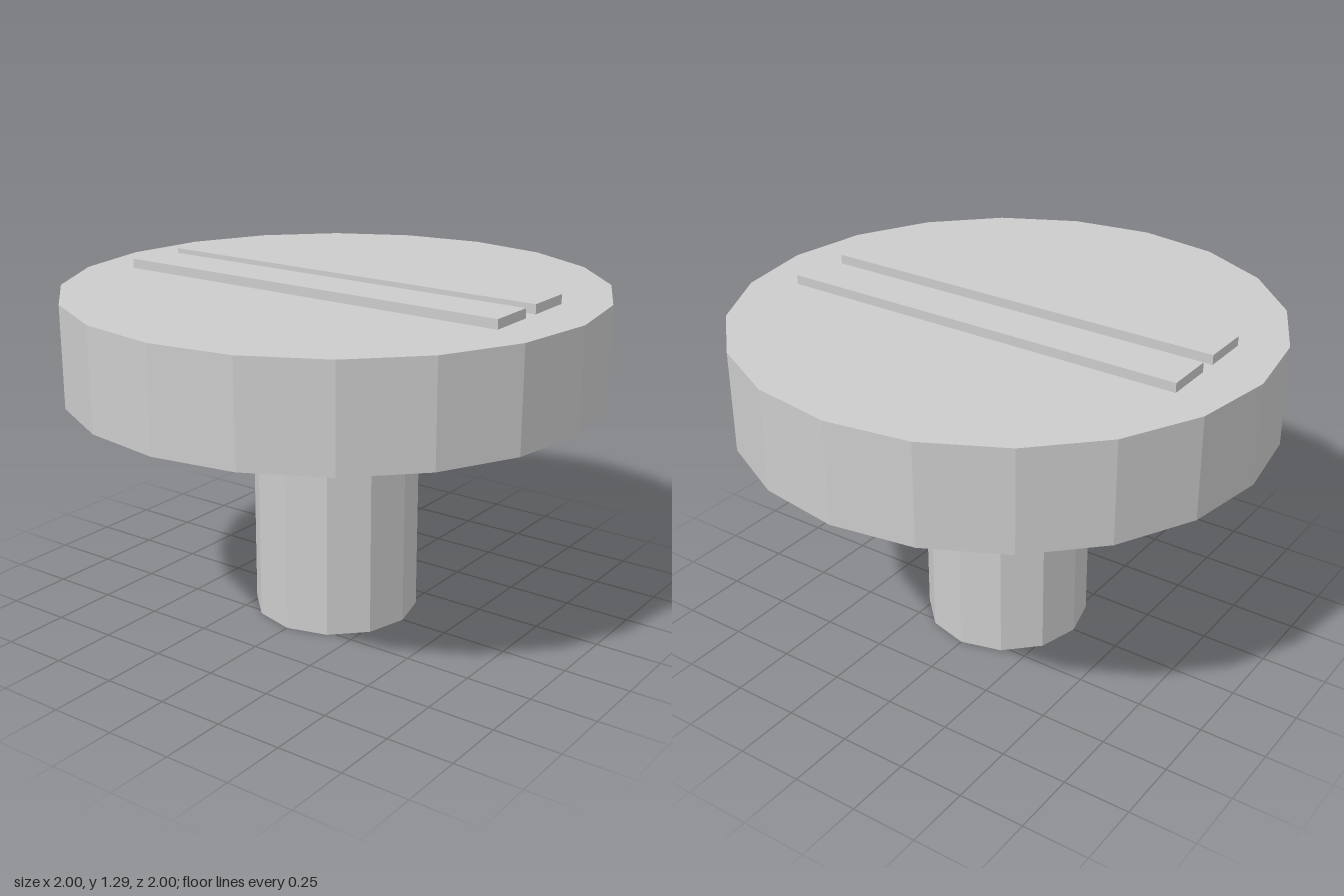
import * as THREE from 'three';

const STEM_HEIGHT = 0.88;
const HEAD_TOP = 1.255;
const BAR_TOP = 1.29;

export function createModel() {
  const model = new THREE.Group();
  model.name = 'slottedKnob';
  const material = new THREE.MeshStandardMaterial({ color: 0xcccccc, flatShading: true });

  const add = (name, geometry, x, y) => {
    const mesh = new THREE.Mesh(geometry, material);
    mesh.name = name;
    mesh.position.set(x, y, 0);
    model.add(mesh);
  };

  // Upright faceted disc between two heights
  const addDisc = (name, radius, bottom, top, sides) =>
    add(name, new THREE.CylinderGeometry(radius, radius, top - bottom, sides), 0, (bottom + top) / 2);

  addDisc('stem', 0.3125, 0, STEM_HEIGHT, 12);
  addDisc('head', 1, STEM_HEIGHT, HEAD_TOP, 20);

  // Pair of raised bars along the top of the head
  for (const [name, side] of [['leftBar', 1], ['rightBar', -1]]) {
    const bar = new THREE.BoxGeometry(0.184, BAR_TOP - HEAD_TOP, 1.6);
    add(name, bar, side * 0.126, (HEAD_TOP + BAR_TOP) / 2);
  }

  return model;
}
